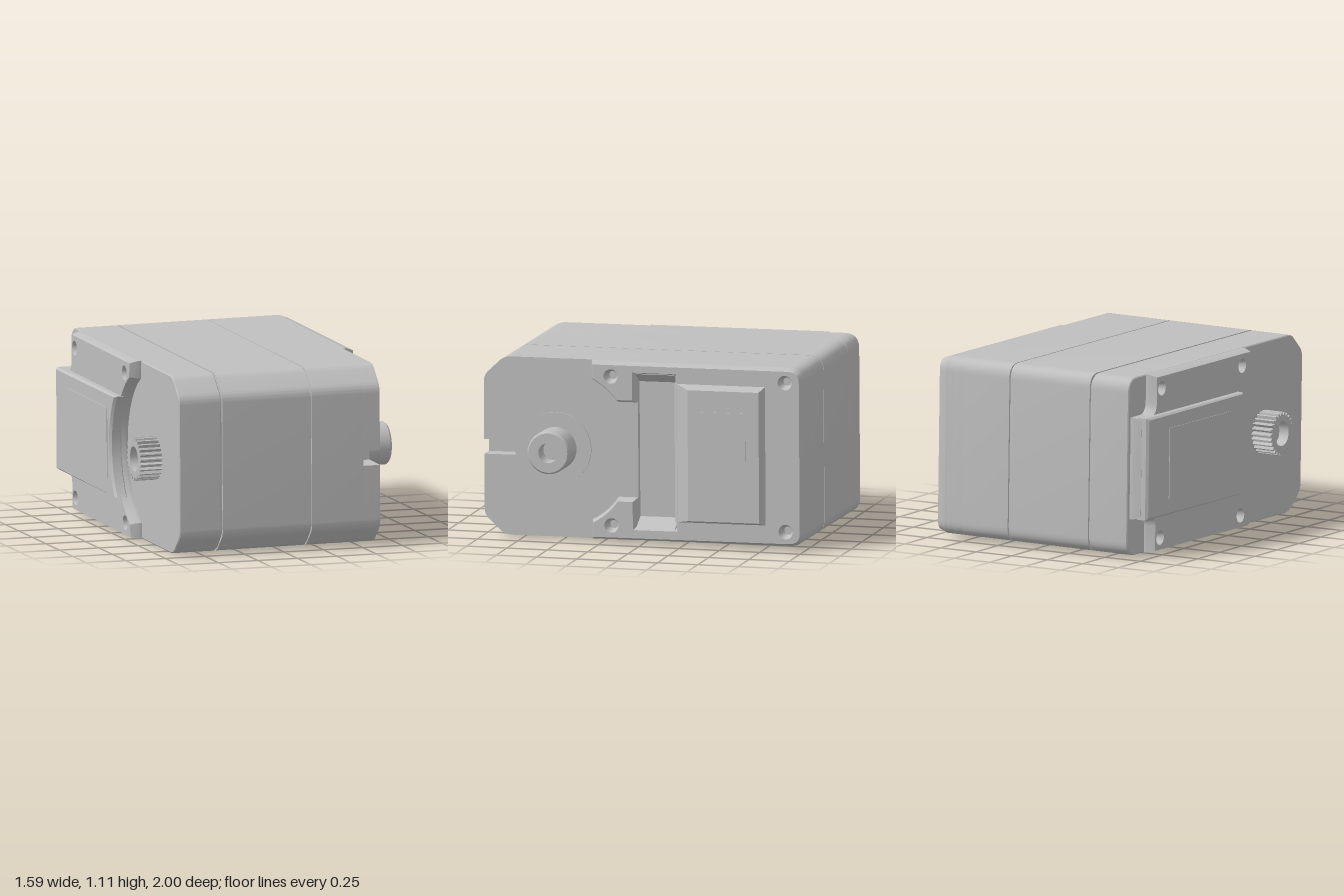
import * as THREE from 'three';
import { toCreasedNormals } from 'three/addons/utils/BufferGeometryUtils.js';
import { ConvexGeometry } from 'three/addons/geometries/ConvexGeometry.js';

// All side outlines use u = -z (towards the back) and v = y, extruded along x.
const BOTTOM = 0.014, TOP = 1.097, BACK = 0.995;
const AXIS_U = -0.55, AXIS_V = 0.55;

export function createModel() {
  const grey = new THREE.MeshStandardMaterial({ color: 0xbfbfbf });
  grey.name = 'housing grey';
  const root = new THREE.Group();
  root.name = 'gearedServo';
  const model = new THREE.Group();
  model.name = 'tiltedHousing';
  root.add(model);

  const add = (name, geometry) => {
    const mesh = new THREE.Mesh(geometry, grey);
    mesh.name = name;
    model.add(mesh);
    return mesh;
  };

  // Extrude an outline from x0 to x1 with an optional inward chamfer
  const slab = (name, shape, x0, x1, chamfer = 0, chamferDepth = 0) => {
    const g = new THREE.ExtrudeGeometry(shape, {
      depth: x1 - x0 - 2 * chamferDepth, curveSegments: 10,
      bevelEnabled: chamfer > 0, bevelSize: chamfer, bevelOffset: -chamfer,
      bevelThickness: chamferDepth, bevelSegments: 1,
    });
    g.translate(0, 0, x0 + chamferDepth);
    g.rotateY(Math.PI / 2);
    return add(name, toCreasedNormals(g, 0.45));
  };

  const polygon = (points) => new THREE.Shape(points.map(([u, v]) => new THREE.Vector2(u, v)));
  const rect = (u0, u1, v0, v1) => polygon([[u0, v0], [u1, v0], [u1, v1], [u0, v1]]);
  const hole = (shape, u, v, r) => {
    const p = new THREE.Path();
    p.absarc(u, v, r, 0, Math.PI * 2, true);
    shape.holes.push(p);
  };

  // Housing outline: softened chamfers in front, small radii behind
  const profile = (inset = 0, notch = false) => {
    const b = BOTTOM + inset, t = TOP - inset, f = -0.995 + inset, k = BACK - inset;
    const s = new THREE.Shape();
    s.moveTo(-0.82, b);
    s.lineTo(k - 0.09, b);
    s.quadraticCurveTo(k, b, k, b + 0.09);
    s.lineTo(k, t - 0.09);
    s.quadraticCurveTo(k, t, k - 0.09, t);
    s.lineTo(-0.82, t);
    s.quadraticCurveTo(-0.865, t, -0.895, t - 0.025);
    s.lineTo(f + 0.025, t - 0.095);
    s.quadraticCurveTo(f, t - 0.12, f, t - 0.16);
    if (notch) {
      s.lineTo(f, 0.59);
      s.lineTo(-0.8, 0.59);
      s.lineTo(-0.8, 0.5);
      s.lineTo(f, 0.5);
    }
    s.lineTo(f, b + 0.16);
    s.quadraticCurveTo(f, b + 0.12, f + 0.025, b + 0.095);
    s.lineTo(-0.895, b + 0.025);
    s.quadraticCurveTo(-0.865, b, -0.82, b);
    return s;
  };

  // Three housing sections with narrow seams
  slab('seamCore', profile(0.012), -0.6, 0.4);
  slab('outputCover', profile(), -0.66, -0.394, 0.006, 0.006);
  slab('middleHousing', profile(), -0.386, 0.171);
  slab('rearCover', profile(), 0.179, 0.505);
  slab('notchedCover', profile(0, true), 0.505, 0.57);
  const face = profile(0, true);
  face.holes.push(new THREE.Path(rect(-0.04, 0.2, 0.1, 1.02).getPoints().reverse()));
  slab('recessedFace', face, 0.57, 0.61);

  // Raised frame on the left side, with lugs around an open recess
  const frame = new THREE.Shape();
  frame.moveTo(-0.32, BOTTOM);
  frame.lineTo(BACK - 0.09, BOTTOM);
  frame.quadraticCurveTo(BACK, BOTTOM, BACK, BOTTOM + 0.09);
  frame.lineTo(BACK, TOP - 0.09);
  frame.quadraticCurveTo(BACK, TOP, BACK - 0.09, TOP);
  frame.lineTo(-0.32, TOP);
  frame.lineTo(-0.32, 0.985);
  frame.quadraticCurveTo(-0.22, 0.93, -0.16, 0.85);
  [[-0.04, 0.85], [-0.04, 1.02], [0.2, 1.02], [0.2, 0.1], [-0.04, 0.1], [-0.04, 0.27], [-0.16, 0.27]]
    .forEach(([u, v]) => frame.lineTo(u, v));
  frame.quadraticCurveTo(-0.22, 0.18, -0.32, 0.13);
  frame.lineTo(-0.32, BOTTOM);
  for (const u of [-0.19, 0.89]) for (const v of [0.105, 1.01]) hole(frame, u, v, 0.026);
  slab('leftFrame', frame, 0.56, 0.68, 0.018, 0.05);

  // Sloped ends of the recess
  for (const s of [-1, 1]) {
    const pts = [];
    for (const z of [0.04, -0.2]) {
      for (const [x, d] of [[0.57, 0.41], [0.57, 0.47], [0.675, 0.47]]) {
        pts.push(new THREE.Vector3(x, 0.56 + s * d, z));
      }
    }
    add('recessSlope', new ConvexGeometry(pts));
  }

  // Raised block with a front ramp
  const block = [];
  for (const [x, front, back, low, high] of [[0.66, -0.2, -0.77, 0.135, 0.985], [0.77, -0.31, -0.75, 0.165, 0.96]]) {
    for (const z of [front, back]) for (const y of [low, high]) block.push(new THREE.Vector3(x, y, z));
  }
  add('rampedBlock', new ConvexGeometry(block));
  slab('leftLabelPlate', rect(0.39, 0.67, 0.3, 0.83), 0.768, 0.773);

  // Turned parts: profile of [radius, distance along x]
  const turned = (name, points) => {
    const g = new THREE.LatheGeometry(points.map(([r, d]) => new THREE.Vector2(r, d)), 40);
    g.rotateZ(-Math.PI / 2);
    g.translate(0, AXIS_V, -AXIS_U);
    return add(name, toCreasedNormals(g, 0.5));
  };
  turned('bearingCollar', [[0.22, 0.6], [0.22, 0.62], [0, 0.62]]);
  turned('idlerShaft', [[0.13, 0.6], [0.13, 0.785], [0.12, 0.797], [0.06, 0.797], [0.06, 0.68], [0, 0.68]]);

  // Right-side frame and block, both cut by an arc around the output spline
  const R = 0.51;
  const arcU = (v) => AXIS_U + Math.sqrt(R * R - (v - AXIS_V) ** 2);
  const arcCut = (shape, v0, v1) => {
    for (let i = 0; i <= 16; i++) {
      const v = v0 + (v1 - v0) * i / 16;
      shape.lineTo(arcU(v), v);
    }
  };
  const plate = new THREE.Shape();
  plate.moveTo(-0.3, BOTTOM);
  plate.lineTo(0.8, BOTTOM);
  plate.lineTo(0.8, 0.18);
  plate.quadraticCurveTo(0.81, 0.24, 0.87, 0.24);
  plate.lineTo(0.97, 0.24);
  plate.lineTo(0.97, 0.86);
  plate.lineTo(0.87, 0.86);
  plate.quadraticCurveTo(0.81, 0.86, 0.8, 0.92);
  plate.lineTo(0.8, TOP);
  plate.lineTo(-0.3, TOP);
  arcCut(plate, 0.99, 0.11);
  plate.lineTo(-0.3, BOTTOM);
  for (const u of [-0.19, 0.73]) for (const v of [0.1, 1.01]) hole(plate, u, v, 0.03);
  slab('rightFrame', plate, -0.73, -0.61, 0.014, 0.05);

  const panel = new THREE.Shape();
  panel.moveTo(arcU(0.24), 0.24);
  panel.lineTo(0.955, 0.24);
  panel.lineTo(0.955, 0.86);
  panel.lineTo(arcU(0.86), 0.86);
  arcCut(panel, 0.84, 0.26);
  slab('rightPanel', panel, -0.775, -0.69, 0.012, 0.015);
  slab('rightLabelPlate', rect(0, 0.71, 0.34, 0.77), -0.779, -0.773);

  // Toothed output spline with a bored end
  const spline = new THREE.Shape();
  const teeth = 25;
  for (let i = 0; i < teeth * 4; i++) {
    const a = i / (teeth * 4) * Math.PI * 2, r = i % 4 < 2 ? 0.132 : 0.114;
    const u = AXIS_U + r * Math.cos(a), v = AXIS_V + r * Math.sin(a);
    if (i) spline.lineTo(u, v); else spline.moveTo(u, v);
  }
  hole(spline, AXIS_U, AXIS_V, 0.075);
  slab('outputSpline', spline, -0.795, -0.65);
  turned('splineBore', [[0, -0.73], [0.08, -0.73], [0.08, -0.65]]);

  // Slight lean of the whole housing
  model.rotation.set(0.009, 0, 0.009);
  model.position.set(0.005, 0, -0.005);
  return root;
}
